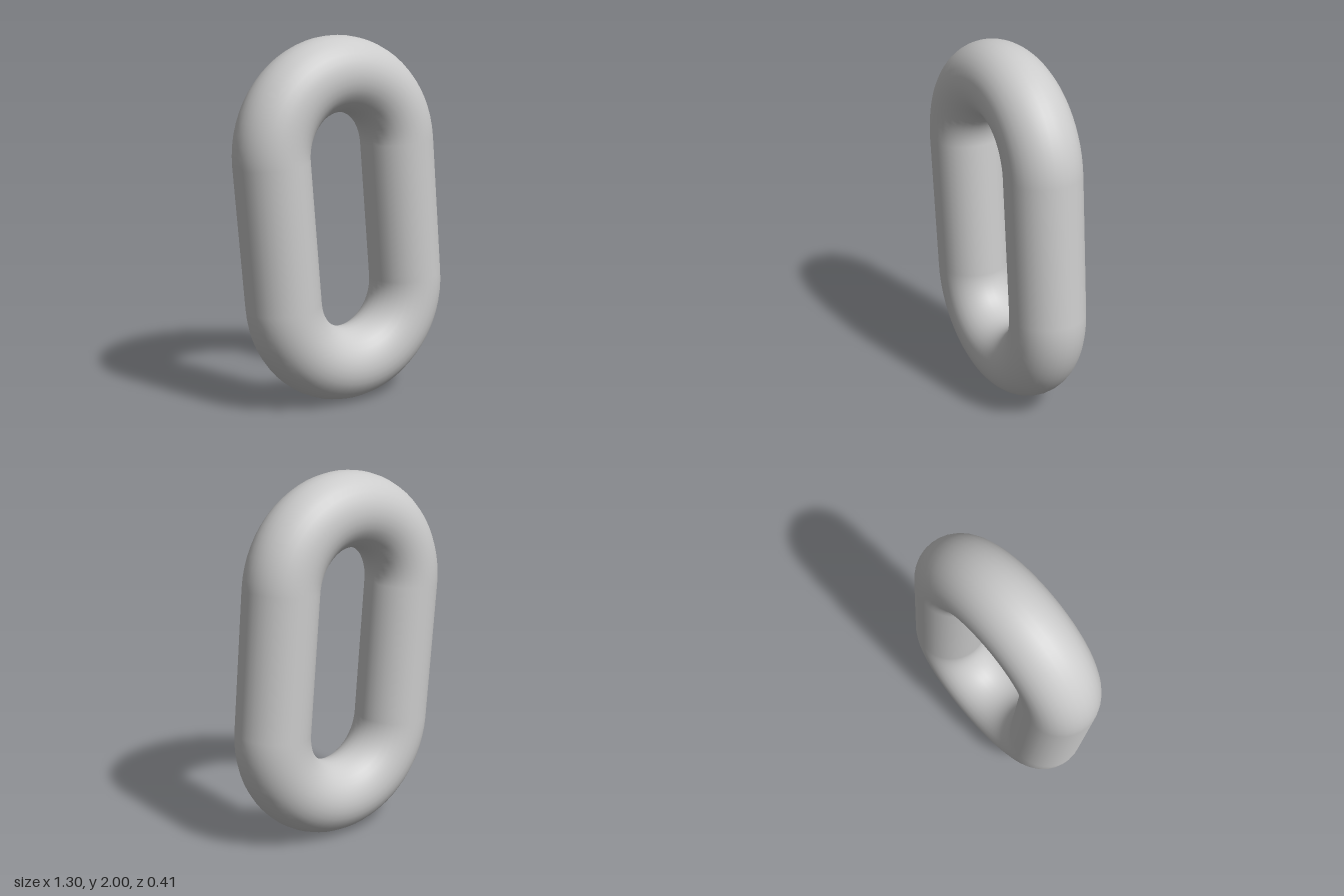
import * as THREE from 'three';

const TUBE = 0.203;      // thickness radius of the rod
const BEND = 0.4145;     // centreline radius of the round ends
const HALF = 0.384;      // half length of the straight sides
const TILT = THREE.MathUtils.degToRad(5);
const SIDES = 32;

export function createModel() {
  const model = new THREE.Group();
  model.name = 'chainLink';
  const material = new THREE.MeshStandardMaterial({ color: 0xcccccc });

  const link = new THREE.Group();
  link.name = 'link';
  link.position.y = 1;
  link.rotation.z = TILT;
  model.add(link);

  const bendGeometry = new THREE.TorusGeometry(BEND, TUBE, SIDES, 32, Math.PI);
  const sideGeometry = new THREE.CylinderGeometry(TUBE, TUBE, HALF * 2, SIDES, 1, true);

  for (const s of [1, -1]) {
    // Half-ring end, turned over for the bottom
    const bend = new THREE.Mesh(bendGeometry, material);
    bend.name = s > 0 ? 'topBend' : 'bottomBend';
    bend.position.y = s * HALF;
    bend.rotation.z = s > 0 ? 0 : Math.PI;
    link.add(bend);

    // Straight rod joining the two ends
    const side = new THREE.Mesh(sideGeometry, material);
    side.name = s > 0 ? 'leftSide' : 'rightSide';
    side.position.x = s * BEND;
    link.add(side);
  }
  return model;
}
